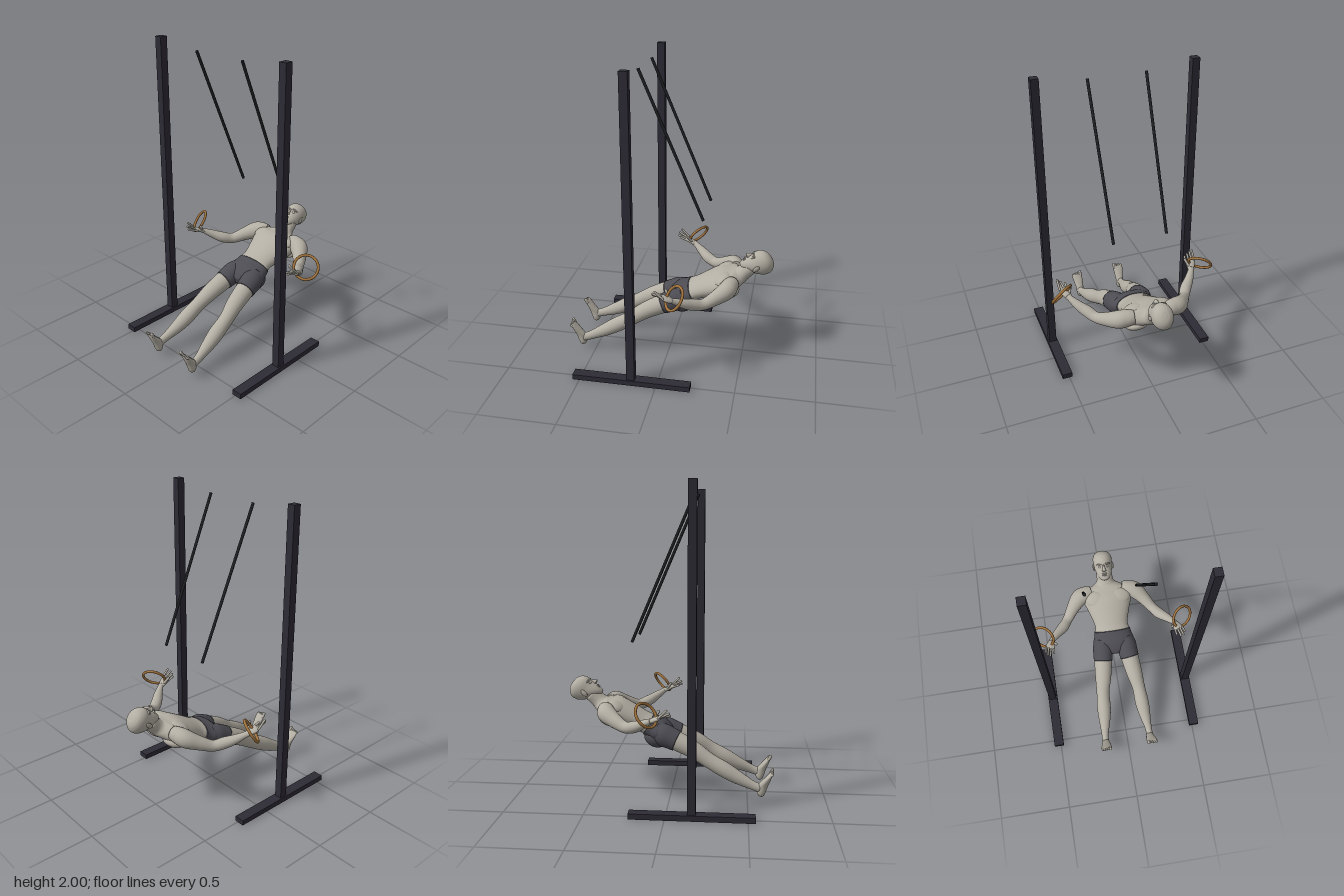
import * as THREE from 'three';

const mat = (name, color, side) => {
  const m = new THREE.MeshStandardMaterial({ color });
  m.name = name;
  if (side) m.side = side;
  return m;
};

// Smooth closed body swept through stations [x, y, z, halfWidth, halfDepth]
function loft(stations, { axis = null, rows = 6, seg = 28 } = {}) {
  const path = new THREE.CatmullRomCurve3(stations.map(s => new THREE.Vector3(s[0], s[1], s[2])), false, 'catmullrom', 0.5);
  const size = new THREE.CatmullRomCurve3(stations.map(s => new THREE.Vector3(s[3], s[4], 0)), false, 'catmullrom', 0.5);
  const n = (stations.length - 1) * rows, pos = [], idx = [];
  for (let i = 0; i <= n; i++) {
    const c = path.getPoint(i / n), r = size.getPoint(i / n);
    const t = axis ? axis.clone() : path.getTangent(i / n);
    const side = new THREE.Vector3(1, 0, 0).addScaledVector(t, -t.x).normalize();
    const up = new THREE.Vector3().crossVectors(t, side);
    for (let j = 0; j < seg; j++) {
      const a = j / seg * Math.PI * 2;
      const p = c.clone().addScaledVector(side, r.x * Math.cos(a)).addScaledVector(up, r.y * Math.sin(a));
      pos.push(p.x, p.y, p.z);
    }
  }
  for (let i = 0; i < n; i++) for (let j = 0; j < seg; j++) {
    const k = (j + 1) % seg, a = i * seg + j, b = i * seg + k;
    idx.push(a, b, a + seg, b, b + seg, a + seg);
  }
  const first = pos.length / 3, last = first + 1;
  pos.push(...stations[0].slice(0, 3), ...stations[stations.length - 1].slice(0, 3));
  for (let j = 0; j < seg; j++) {
    const k = (j + 1) % seg;
    idx.push(first, k, j, last, n * seg + j, n * seg + k);
  }
  const g = new THREE.BufferGeometry();
  g.setAttribute('position', new THREE.Float32BufferAttribute(pos, 3));
  g.setIndex(idx);
  g.computeVertexNormals();
  return g;
}

const mirror = (st, s) => st.map(([x, ...rest]) => [x * s, ...rest]);

export function createModel() {
  const model = new THREE.Group();
  model.name = 'ringTrainingFigure';
  const skin = mat('skin', 0xb3aea3), cloth = mat('shortsGrey', 0x4d4c53);
  const frame = mat('frameDark', 0x2d2b35), strapMat = mat('strapBlack', 0x1f2023), wood = mat('ringWood', 0xa0723c);

  const add = (name, geo, m, parent = model) => {
    const mesh = new THREE.Mesh(geo, m);
    mesh.name = name;
    parent.add(mesh);
    return mesh;
  };
  const ball = (name, m, p, r, rot = [0, 0, 0], parent = model) => {
    const b = add(name, new THREE.SphereGeometry(1, 24, 16), m, parent);
    b.position.set(...p); b.scale.set(...r); b.rotation.set(...rot);
    return b;
  };
  const rod = (name, m, p, q, r, round = true) => {
    const a = new THREE.Vector3(...p), b = new THREE.Vector3(...q), d = b.clone().sub(a), len = d.length();
    const o = add(name, round ? new THREE.CapsuleGeometry(r, len, 5, 10) : new THREE.CylinderGeometry(r, r, len, 12), m);
    o.position.copy(a).add(b).multiplyScalar(0.5);
    o.quaternion.setFromUnitVectors(new THREE.Vector3(0, 1, 0), d.normalize());
  };

  // Torso and neck
  add('torso', loft([
    [0, 0.435, -0.13, 0.125, 0.064], [0, 0.447, -0.153, 0.126, 0.066], [0, 0.467, -0.2, 0.12, 0.068],
    [0, 0.505, -0.29, 0.148, 0.08], [0, 0.536, -0.365, 0.175, 0.084], [0, 0.56, -0.425, 0.175, 0.064],
    [0, 0.577, -0.46, 0.105, 0.056], [0, 0.598, -0.485, 0.062, 0.052], [0, 0.645, -0.535, 0.056, 0.05],
  ], { seg: 40 }), skin);

  // Shorts seat
  add('shorts', loft([
    [0, 0.375, 0.005, 0.04, 0.03], [0, 0.387, -0.025, 0.115, 0.056], [0, 0.41, -0.08, 0.148, 0.078],
    [0, 0.43, -0.125, 0.136, 0.074], [0, 0.447, -0.157, 0.13, 0.07],
  ], { seg: 40 }), cloth);

  // Head, built upright and tipped back
  const head = new THREE.Group();
  head.name = 'head';
  head.position.set(0, 0.67, -0.575);
  head.rotation.x = -0.927;
  model.add(head);
  add('skull', loft([
    [0, -0.1, 0.045, 0.012, 0.01], [0, -0.092, 0.043, 0.028, 0.023], [0, -0.07, 0.03, 0.045, 0.043],
    [0, -0.04, 0.012, 0.058, 0.063], [0, 0, -0.006, 0.065, 0.08], [0, 0.045, -0.01, 0.068, 0.084],
    [0, 0.078, -0.01, 0.056, 0.065], [0, 0.095, -0.01, 0.032, 0.038], [0, 0.1, -0.01, 0.006, 0.008],
  ], { axis: new THREE.Vector3(0, 1, 0), seg: 36 }), skin, head);
  add('nose', loft([
    [0, -0.03, 0.078, 0.008, 0.006], [0, -0.023, 0.08, 0.016, 0.019], [0, -0.013, 0.079, 0.011, 0.016],
    [0, 0.008, 0.073, 0.007, 0.009], [0, 0.02, 0.07, 0.006, 0.005],
  ], { axis: new THREE.Vector3(0, 1, 0), seg: 16 }), skin, head);
  ball('upperLip', skin, [0, -0.047, 0.073], [0.021, 0.006, 0.009], [0, 0, 0], head);
  ball('lowerLip', skin, [0, -0.058, 0.07], [0.018, 0.006, 0.009], [0, 0, 0], head);
  ball('chin', skin, [0, -0.084, 0.058], [0.02, 0.014, 0.013], [0, 0, 0], head);

  // Limbs, one pass for each side
  for (const s of [1, -1]) {
    const side = s > 0 ? 'left' : 'right';
    const at = ([x, y, z]) => [x * s, y, z];

    // Face details
    ball(side + 'Brow', skin, [0.027 * s, 0.022, 0.064], [0.025, 0.006, 0.01], [0, 0.3 * s, -0.1 * s], head);
    ball(side + 'Eye', skin, [0.027 * s, 0.004, 0.063], [0.014, 0.008, 0.008], [0, 0.3 * s, 0], head);
    ball(side + 'Ear', skin, [0.067 * s, -0.008, -0.008], [0.008, 0.028, 0.016], [0.15, 0.3 * s, 0], head);

    // Chest and seat shapes
    ball(side + 'ChestMuscle', skin, at([0.082, 0.578, -0.355]), [0.084, 0.034, 0.062], [0.4, 0.2 * s, -0.1 * s]);
    ball(side + 'ShoulderBlade', skin, at([0.09, 0.492, -0.41]), [0.075, 0.034, 0.065], [0.4, 0, 0]);
    ball(side + 'Buttock', cloth, at([0.066, 0.372, -0.1]), [0.07, 0.062, 0.08], [0.4, 0, 0]);

    // Arm and palm
    add(side + 'Arm', loft(mirror([
      [0.11, 0.57, -0.425, 0.045, 0.045], [0.155, 0.567, -0.415, 0.055, 0.055], [0.205, 0.555, -0.395, 0.06, 0.058],
      [0.26, 0.527, -0.335, 0.046, 0.046], [0.31, 0.502, -0.265, 0.036, 0.036], [0.35, 0.517, -0.205, 0.038, 0.037],
      [0.395, 0.543, -0.155, 0.031, 0.03], [0.433, 0.573, -0.105, 0.021, 0.019], [0.445, 0.583, -0.085, 0.022, 0.016],
    ], s)), skin);
    add(side + 'Palm', loft(mirror([
      [0.437, 0.575, -0.1, 0.018, 0.014], [0.447, 0.59, -0.07, 0.029, 0.016],
      [0.457, 0.604, -0.04, 0.033, 0.013], [0.461, 0.609, -0.028, 0.026, 0.008],
    ], s)), skin);
    const tips = [[0.435, 0.618, 0.01], [0.462, 0.622, 0.026], [0.478, 0.638, 0.024], [0.488, 0.658, 0.008]];
    tips.forEach((tip, i) => {
      const base = [0.432 + i * 0.018, 0.6 + i * 0.004, -0.04];
      rod(side + 'Finger' + (i + 1), skin, at(base), at(tip), 0.0075);
    });
    rod(side + 'Thumb', skin, at([0.432, 0.592, -0.075]), at([0.412, 0.635, -0.045]), 0.009);

    // Leg and shorts leg
    add(side + 'Leg', loft(mirror([
      [0.09, 0.385, -0.02, 0.06, 0.06], [0.098, 0.361, 0.04, 0.064, 0.063], [0.115, 0.31, 0.15, 0.058, 0.056],
      [0.133, 0.248, 0.25, 0.047, 0.049], [0.142, 0.192, 0.35, 0.05, 0.05], [0.15, 0.148, 0.43, 0.042, 0.043],
      [0.162, 0.103, 0.525, 0.026, 0.03], [0.166, 0.083, 0.58, 0.024, 0.028],
    ], s)), skin);
    add(side + 'ShortsLeg', loft(mirror([
      [0.076, 0.42, -0.1, 0.06, 0.06], [0.085, 0.397, -0.05, 0.073, 0.075],
      [0.093, 0.375, 0.005, 0.07, 0.071], [0.098, 0.361, 0.04, 0.068, 0.067],
    ], s)), cloth);

    // Foot standing on its heel, toes upward
    add(side + 'Foot', loft(mirror([
      [0.162, 0.028, 0.588, 0.01, 0.01], [0.162, 0.037, 0.588, 0.021, 0.02], [0.163, 0.06, 0.588, 0.027, 0.029],
      [0.164, 0.1, 0.597, 0.028, 0.034], [0.166, 0.14, 0.622, 0.034, 0.025], [0.168, 0.17, 0.642, 0.038, 0.016],
      [0.168, 0.188, 0.652, 0.034, 0.009],
    ], s), { axis: new THREE.Vector3(0, 1, 0) }), skin);
    for (let i = 0; i < 5; i++) {
      const x = 0.14 + i * 0.0145, r = i ? 0.0075 : 0.0105;
      rod(side + 'Toe' + (i + 1), skin, at([x, 0.176, 0.647]), at([x, 0.199 - i * 0.004, 0.659]), r);
    }

    // Gym ring
    const ring = add(side + 'Ring', new THREE.TorusGeometry(0.078, 0.009, 12, 48), wood);
    ring.position.set(0.494 * s, 0.63, -0.112);
    ring.quaternion.setFromUnitVectors(new THREE.Vector3(0, 0, 1), new THREE.Vector3(0.5 * s, 0.55, 0.68).normalize());

    // Strap
    rod(side + 'Strap', strapMat, at([0.189, 1.953, 0.16]), at([0.178, 1.02, -0.238]), 0.0095, false);

    // Post on its floor beam
    const post = add(side + 'Post', new THREE.BoxGeometry(0.05, 2, 0.052), frame);
    post.position.set(0.513 * s, 1, 0.162);
    const beam = add(side + 'FloorBeam', new THREE.BoxGeometry(0.068, 0.035, 0.765), frame);
    beam.position.set(0.513 * s, 0.0175, 0.162);
  }
  return model;
}
